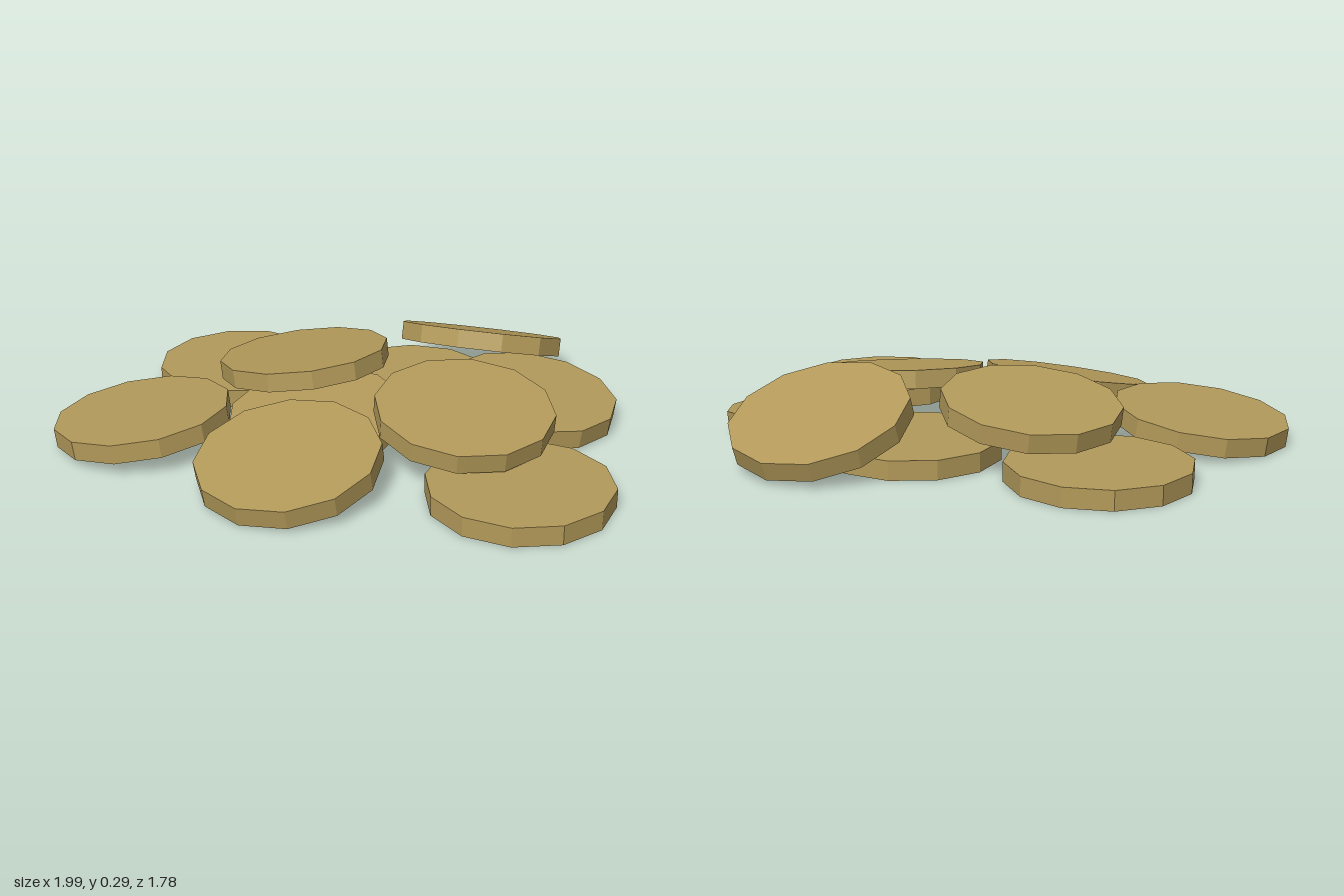
import * as THREE from 'three';

const RADIUS = 0.312, THICK = 0.067;

// Each coin: centre of its upper face (x, y, z), slope of that face along x and z,
// and the turn of its corners in degrees.
const COINS = [
  // bottom layer
  ['rightCoin', 0.69, 0.067, 0.26, 0, 0, 9],
  ['leftCoin', -0.69, 0.067, -0.11, 0, 0, 14],
  ['backCoin', -0.04, 0.067, -0.31, 0, 0, 0],
  // leaning on the bottom layer
  ['backRightCoin', 0.45, 0.11, -0.33, -0.13, 0, 0],
  ['middleCoin', -0.14, 0.105, 0.2, 0.02, -0.12, 14],
  ['frontLeftCoin', -0.66, 0.108, 0.52, 0.12, -0.03, 10],
  ['frontCoin', 0, 0.13, 0.58, 0, -0.2, -2],
  // top layer
  ['topLeftCoin', -0.35, 0.202, -0.045, 0.155, 0.05, -9],
  ['topRightCoin', 0.38, 0.186, 0.06, -0.12, -0.1, 6],
  ['topBackCoin', 0.105, 0.185, -0.605, 0.08, 0.36, -10],
];

export function createModel() {
  const model = new THREE.Group();
  model.name = 'coinPile';
  const brass = new THREE.MeshStandardMaterial({ color: 0xb39a5a, flatShading: true });
  brass.name = 'brass';
  const disc = new THREE.CylinderGeometry(RADIUS, RADIUS, THICK, 12);
  const up = new THREE.Vector3(0, 1, 0);

  for (const [name, x, y, z, slopeX, slopeZ, turn] of COINS) {
    const coin = new THREE.Mesh(disc, brass);
    coin.name = name;
    const normal = new THREE.Vector3(-slopeX, 1, -slopeZ).normalize();
    const spin = new THREE.Quaternion().setFromAxisAngle(up, -THREE.MathUtils.degToRad(turn));
    coin.quaternion.setFromUnitVectors(up, normal).multiply(spin);
    coin.position.set(x, y, z).addScaledVector(normal, -THICK / 2);
    model.add(coin);
  }
  return model;
}
